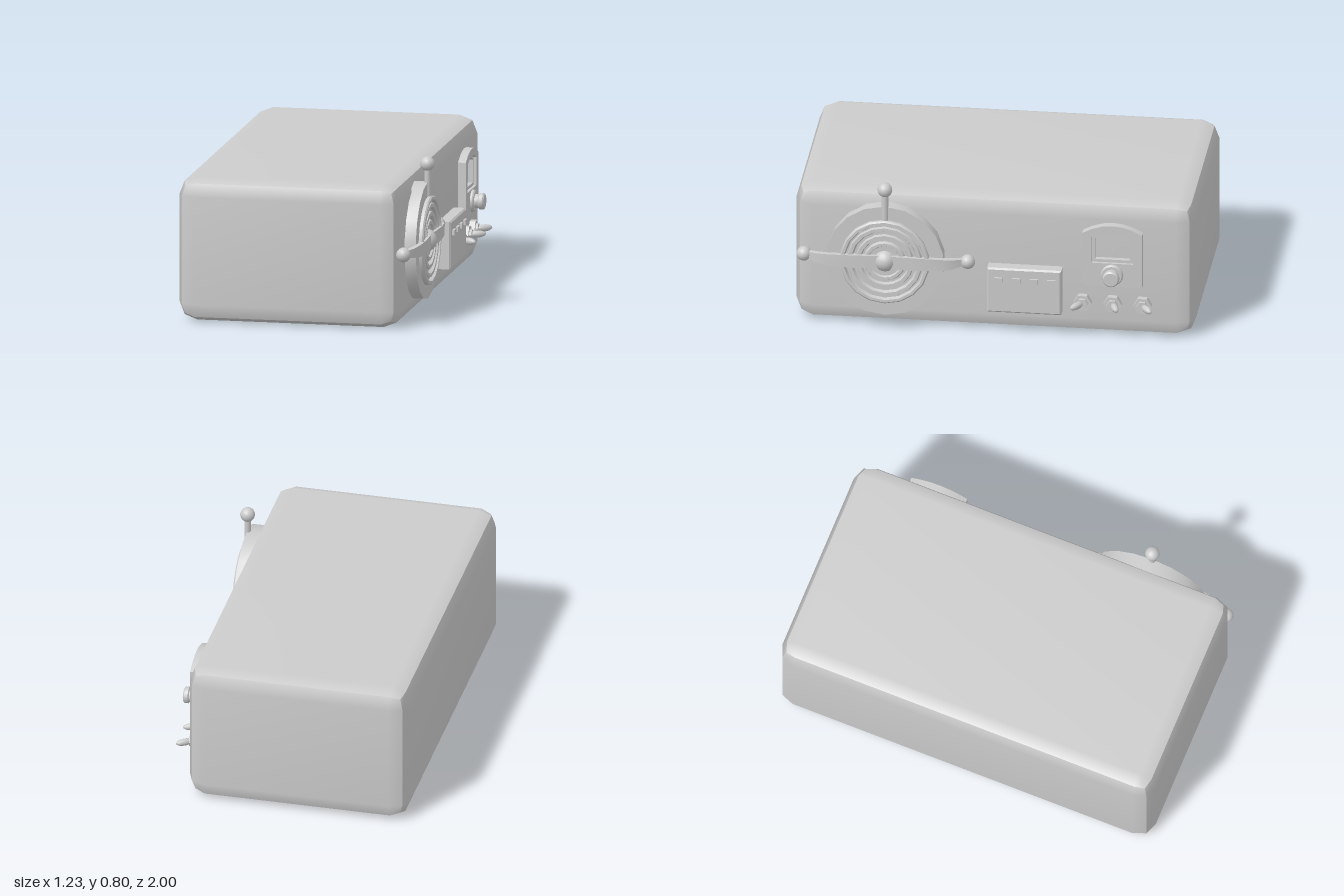
import * as THREE from 'three';
import { toCreasedNormals } from 'three/addons/utils/BufferGeometryUtils.js';

const material = new THREE.MeshStandardMaterial({ color: 0xcccccc, side: THREE.DoubleSide });

function add(parent, name, geometry, x = 0, y = 0, z = 0) {
  const mesh = new THREE.Mesh(geometry, material);
  mesh.name = name;
  mesh.position.set(x, y, z);
  parent.add(mesh);
  return mesh;
}

// Lathe turned to face +z; profile points are [radius, height]
function turned(profile, sides) {
  const points = profile.map(([r, h]) => new THREE.Vector2(r, h));
  const geometry = new THREE.LatheGeometry(points, sides).rotateX(Math.PI / 2);
  return toCreasedNormals(geometry, 0.6);
}

// Box whose faces bulge gently towards creased edges
function softBox(w, h, d) {
  const geometry = new THREE.BoxGeometry(w, h, d, 3, 3, 3);
  const half = [w / 2, h / 2, d / 2];
  const p = geometry.attributes.position;
  for (let i = 0; i < p.count; i++) {
    const v = [p.getX(i), p.getY(i), p.getZ(i)];
    const outer = v.map((c, k) => Math.abs(c) > half[k] * 0.9);
    const inset = [0, 0, 0.025, 0.04][outer.filter(Boolean).length];
    const moved = v.map((c, k) => Math.sign(c) * (half[k] - (outer[k] ? inset : 0.09)));
    p.setXYZ(i, ...moved);
  }
  geometry.computeVertexNormals();
  return geometry;
}

// Upright outline with a shallow arched top
function arch(Type, left, right, bottom, shoulder, top) {
  const s = new Type();
  const mid = (left + right) / 2;
  s.moveTo(left, bottom);
  s.lineTo(right, bottom);
  s.lineTo(right, shoulder);
  s.quadraticCurveTo(mid, top * 2 - shoulder, left, shoulder);
  s.closePath();
  return s;
}

function extrude(shape, depth) {
  const geometry = new THREE.ExtrudeGeometry(shape, { depth, bevelEnabled: false, curveSegments: 6 });
  return toCreasedNormals(geometry, 0.6);
}

// Ringed dial with two bent arms, an upright stem and ball ends
function makeDial() {
  const dial = new THREE.Group();
  dial.name = 'dial';
  add(dial, 'dialRings', turned([
    [0.295, 0.48], [0.295, 0.567], [0.225, 0.567], [0.225, 0.583], [0.218, 0.59], [0.205, 0.59],
    [0.198, 0.572], [0.19, 0.572], [0.185, 0.585], [0.168, 0.585], [0.16, 0.568], [0.147, 0.568],
    [0.142, 0.582], [0.124, 0.582], [0.118, 0.565], [0.107, 0.565], [0.1, 0.58], [0.085, 0.58],
    [0.08, 0.57], [0, 0.57],
  ], 18));
  add(dial, 'hubBall', new THREE.SphereGeometry(0.057, 16, 12), 0, 0, 0.556);

  for (const side of [-1, 1]) {
    // Arm cross-sections: distance out, half height, back, front
    const sections = [
      [0.03, 0.034, 0.57, 0.59], [0.16, 0.034, 0.575, 0.597], [0.29, 0.03, 0.565, 0.59],
      [0.345, 0.024, 0.545, 0.572], [0.395, 0.017, 0.515, 0.54],
    ];
    const verts = [];
    const index = [];
    sections.forEach(([x, h, back, front], i) => {
      verts.push(x * side, -h, back, x * side, h, back, x * side, h, front, x * side, -h, front);
      if (i === 0) return;
      for (let k = 0; k < 4; k++) {
        const a = (i - 1) * 4 + k, b = (i - 1) * 4 + (k + 1) % 4;
        if (side > 0) index.push(a, b, b + 4, a, b + 4, a + 4);
        else index.push(a, b + 4, b, a, a + 4, b + 4);
      }
    });
    const arm = new THREE.BufferGeometry();
    arm.setAttribute('position', new THREE.Float32BufferAttribute(verts, 3));
    arm.setIndex(index);
    add(dial, 'arm', toCreasedNormals(arm, 0.6));
    add(dial, 'armBall', new THREE.SphereGeometry(0.037, 14, 10), 0.41 * side, 0.002, 0.53);
  }
  add(dial, 'stem', new THREE.CylinderGeometry(0.017, 0.017, 0.14, 10), 0, 0.292, 0.565);
  add(dial, 'stemBall', new THREE.SphereGeometry(0.037, 14, 10), 0, 0.387, 0.565);
  return dial;
}

// Gauge plate with arched window and stepped knob
function makeGauge() {
  const gauge = new THREE.Group();
  gauge.name = 'gauge';
  const plate = arch(THREE.Shape, 0.445, 0.745, 0.29, 0.575, 0.62);
  plate.holes.push(arch(THREE.Path, 0.49, 0.70, 0.415, 0.555, 0.583));
  add(gauge, 'gaugePlate', extrude(plate, 0.05), 0, 0, 0.5);
  const frame = arch(THREE.Shape, 0.49, 0.70, 0.415, 0.555, 0.583);
  frame.holes.push(arch(THREE.Path, 0.508, 0.682, 0.43, 0.545, 0.568));
  add(gauge, 'windowFrame', extrude(frame, 0.035), 0, 0, 0.5);
  add(gauge, 'needle', new THREE.BoxGeometry(0.006, 0.06, 0.006), 0.595, 0.45, 0.516);
  add(gauge, 'gaugeKnob', turned([
    [0.056, 0.53], [0.056, 0.56], [0.05, 0.567], [0.036, 0.567], [0.034, 0.585],
    [0.042, 0.59], [0.042, 0.608], [0.035, 0.615], [0, 0.615],
  ], 16), 0.595, 0.355);
  return gauge;
}

// Hexagonal nut with a tilted rounded lever
function makeToggle(x, tilt) {
  const toggle = new THREE.Group();
  toggle.name = 'toggleSwitch';
  toggle.position.set(x, 0.185, 0);
  const nut = add(toggle, 'toggleNut', turned([
    [0.046, 0.49], [0.046, 0.54], [0.03, 0.54], [0.028, 0.552], [0, 0.552],
  ], 6));
  nut.rotation.z = Math.PI / 6;
  const lever = new THREE.SphereGeometry(1, 12, 8).scale(0.018, 0.018, 0.045);
  add(toggle, 'toggleLever', lever, tilt * 0.025, 0, 0.573).rotation.y = tilt * 0.6;
  return toggle;
}

export function createModel() {
  const model = new THREE.Group();
  model.name = 'controlBox';
  add(model, 'housing', softBox(1.125, 0.725, 2), -0.0525, 0.3625, 0);

  // Controls are laid out facing +z, then turned to the left side
  const controls = new THREE.Group();
  controls.name = 'controls';
  controls.rotation.y = Math.PI / 2;
  model.add(controls);

  const dial = makeDial();
  dial.position.set(-0.54, 0.375, 0);
  controls.add(dial, makeGauge());

  // Button panel
  const panel = new THREE.Shape();
  panel.moveTo(-0.02, 0.135);
  panel.lineTo(0.335, 0.135);
  panel.lineTo(0.335, 0.36);
  panel.lineTo(-0.02, 0.36);
  panel.closePath();
  const panelGeometry = new THREE.ExtrudeGeometry(panel, {
    depth: 0.065, bevelThickness: 0.008, bevelSize: 0.008, bevelSegments: 1,
  });
  add(controls, 'buttonPanel', toCreasedNormals(panelGeometry, 0.6), 0, 0, 0.5);
  for (let i = 0; i < 4; i++) {
    add(controls, 'button', new THREE.BoxGeometry(0.042, 0.026, 0.03), 0.03 + i * 0.088, 0.307, 0.57);
  }

  // Toggle switches
  [[0.445, -1], [0.595, 0.6], [0.745, 1]].forEach(([x, tilt]) => controls.add(makeToggle(x, tilt)));
  return model;
}
